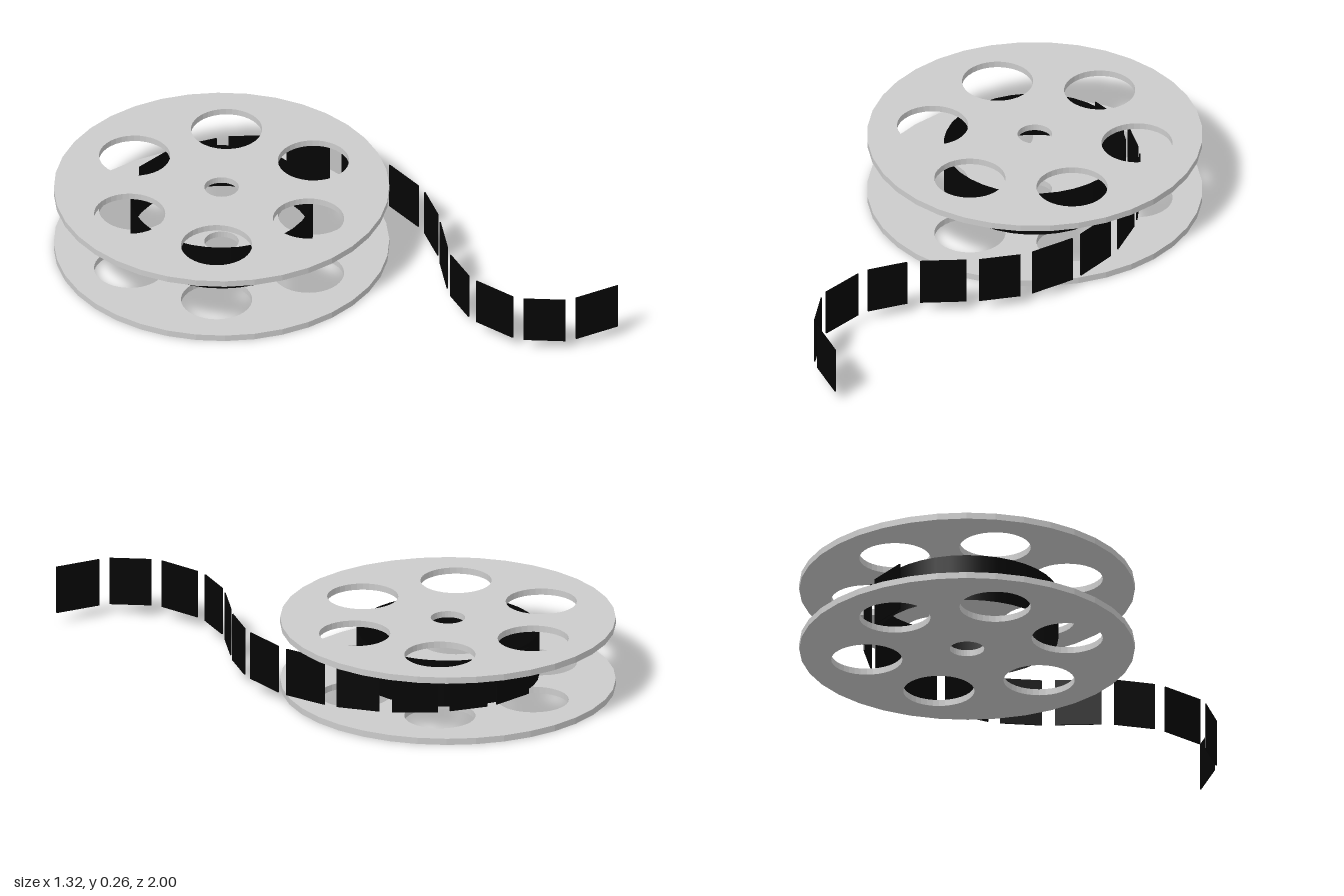
import * as THREE from 'three';

const REEL_X = -0.05, REEL_Z = -0.39;
const FILM_BOTTOM = 0.042, FILM_TOP = 0.222;

const metal = new THREE.MeshStandardMaterial({ color: 0xcccccc, flatShading: true });
const filmBlack = new THREE.MeshStandardMaterial({ color: 0x050505, side: THREE.DoubleSide });

// Flat disc with a spindle hole and six round windows
function makeFlange(name, y) {
  const thickness = 0.024;
  const shape = new THREE.Shape().absarc(0, 0, 0.612, 0, Math.PI * 2);
  const addHole = (x, y, r) => shape.holes.push(new THREE.Path().absarc(x, y, r, 0, Math.PI * 2, true));
  addHole(0, 0, 0.063);
  for (let i = 0; i < 6; i++) {
    const a = THREE.MathUtils.degToRad(14 + i * 60);
    addHole(Math.cos(a) * 0.377, Math.sin(a) * 0.377, 0.13);
  }
  const geometry = new THREE.ExtrudeGeometry(shape, { depth: thickness, bevelEnabled: false, curveSegments: 18 });
  geometry.rotateX(Math.PI / 2).translate(0, thickness, 0);
  const flange = new THREE.Mesh(geometry, metal);
  flange.name = name;
  flange.position.set(REEL_X, y, REEL_Z);
  return flange;
}

// One upright film frame spanning two points on the floor plan
function makeFrame([x1, z1, x2, z2], index) {
  const length = Math.hypot(x2 - x1, z2 - z1);
  const frame = new THREE.Mesh(new THREE.BoxGeometry(length, FILM_TOP - FILM_BOTTOM, 0.005), filmBlack);
  frame.name = `filmFrame${index + 1}`;
  frame.position.set((x1 + x2) / 2, (FILM_TOP + FILM_BOTTOM) / 2, (z1 + z2) / 2);
  frame.rotation.y = -Math.atan2(z2 - z1, x2 - x1);
  return frame;
}

export function createModel() {
  const model = new THREE.Group();
  model.name = 'filmReel';

  model.add(makeFlange('bottomFlange', 0), makeFlange('topFlange', 0.239));

  // Wound film: an open tube between the flanges
  const roll = new THREE.Mesh(
    new THREE.CylinderGeometry(0.333, 0.333, FILM_TOP - FILM_BOTTOM, 36, 1, true), filmBlack);
  roll.name = 'woundFilm';
  roll.position.set(REEL_X, (FILM_TOP + FILM_BOTTOM) / 2, REEL_Z);
  model.add(roll);

  // Loose film unwinding in an S curve, as start and end points of each frame
  const strip = new THREE.Group();
  strip.name = 'looseFilm';
  [
    [-0.15, -0.73, 0.01, -0.742],
    [0.05, -0.735, 0.185, -0.685],
    [0.225, -0.665, 0.355, -0.56],
    [0.385, -0.525, 0.475, -0.39],
    [0.495, -0.345, 0.54, -0.18],
    [0.545, -0.14, 0.535, 0.033],
    [0.525, 0.078, 0.465, 0.22],
    [0.44, 0.26, 0.35, 0.403],
    [0.328, 0.445, 0.288, 0.592],
    [0.288, 0.635, 0.32, 0.8],
    [0.34, 0.835, 0.45, 0.943],
    [0.488, 0.957, 0.657, 0.996],
  ].forEach((ends, i) => strip.add(makeFrame(ends, i)));
  model.add(strip);

  return model;
}
